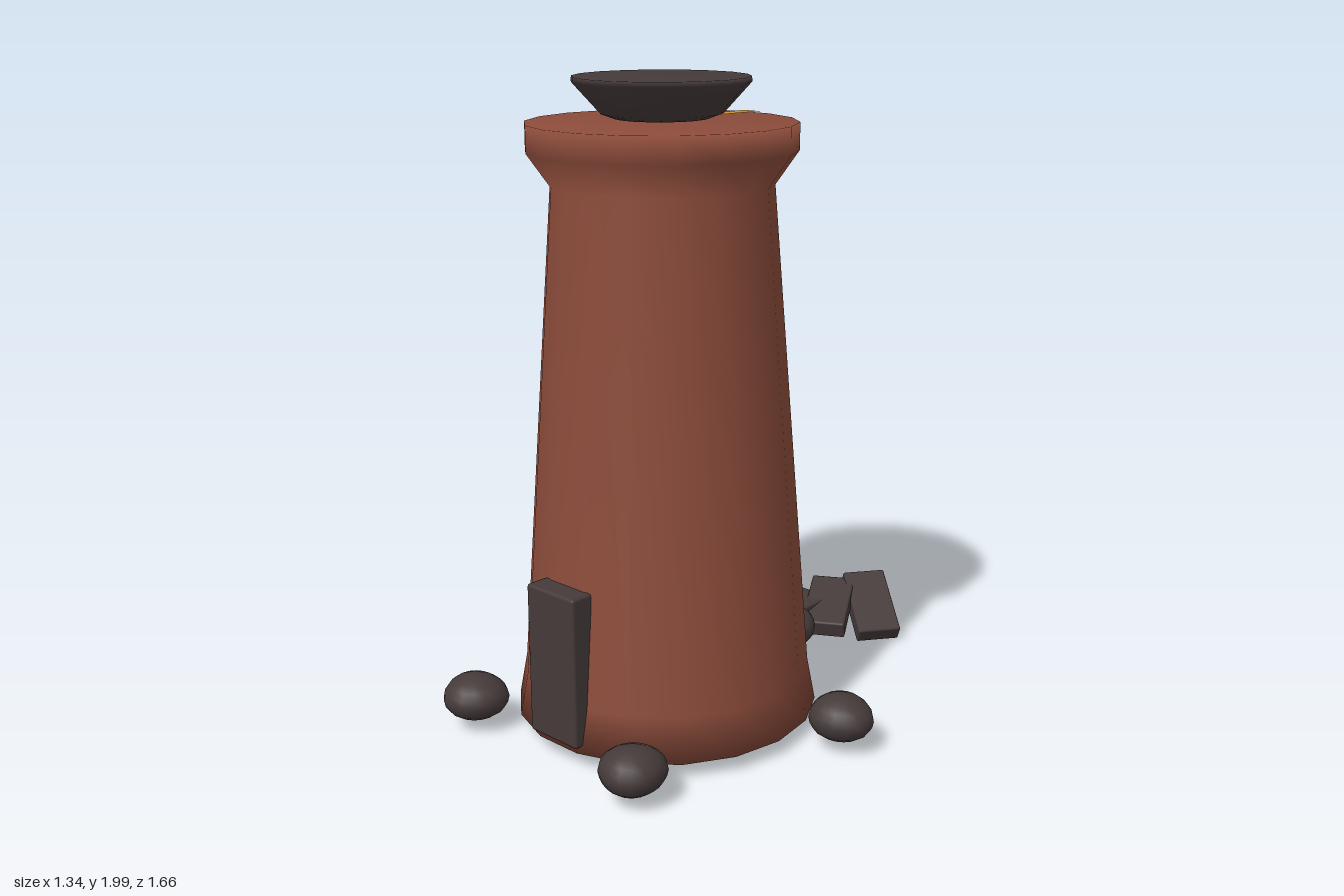
import * as THREE from 'three';
import { RoundedBoxGeometry } from 'three/addons/geometries/RoundedBoxGeometry.js';

const brick = new THREE.MeshStandardMaterial({ name: 'brick', color: 0x8c4c3b });
const darkStone = new THREE.MeshStandardMaterial({ name: 'darkStone', color: 0x453a3a });
const ochre = new THREE.MeshStandardMaterial({ name: 'ochre', color: 0xd2973a });

const SIDES = 18;
const CX = -0.005, CZ = 0.24; // tower axis

// Radius, height
const TOWER = [[0, 0.065], [0.468, 0.065], [0.443, 0.2], [0.33, 1.69], [0.4, 1.79], [0.4, 1.87], [0, 1.872]];
const CAP = [[0, 1.876], [0.14, 1.88], [0.18, 1.895], [0.262, 1.985], [0.26, 2.0], [0, 2.0]];

function add(parent, name, geometry, material, x = 0, y = 0, z = 0) {
  const mesh = new THREE.Mesh(geometry, material);
  mesh.name = name;
  mesh.position.set(x, y, z);
  parent.add(mesh);
  return mesh;
}

function turned(profile) {
  return new THREE.LatheGeometry(profile.map(p => new THREE.Vector2(...p)), SIDES, Math.PI / 2);
}

// Slightly lumpy, flattened boulder
function boulder(rx, ry, rz, seed) {
  const g = new THREE.SphereGeometry(1, 16, 10);
  const p = g.attributes.position;
  const v = new THREE.Vector3();
  for (let i = 0; i < p.count; i++) {
    v.fromBufferAttribute(p, i);
    const a = Math.atan2(v.z, v.x);
    const flat = Math.hypot(v.x, v.z);
    const k = 1 + 0.035 * flat * Math.sin(3 * a + seed) + 0.02 * flat * Math.cos(2 * a - seed);
    p.setXYZ(i, v.x * k * rx, v.y * ry, v.z * k * rz);
  }
  g.computeVertexNormals();
  // Match the normals along the seam
  const n = g.attributes.normal;
  for (let row = 0; row <= 10; row++) {
    const a = row * 17, b = a + 16;
    const s = new THREE.Vector3().fromBufferAttribute(n, a).add(v.fromBufferAttribute(n, b)).normalize();
    n.setXYZ(a, s.x, s.y, s.z);
    n.setXYZ(b, s.x, s.y, s.z);
  }
  return g;
}

// Thin ribbon hugging the flat rear facet: rows of [half width, y, z]
function ribbon(rows) {
  const pos = [], index = [];
  rows.forEach(([w, y, z], i) => {
    pos.push(w, y, z, -w, y, z);
    if (i) {
      const a = 2 * i - 2;
      index.push(a, a + 1, a + 2, a + 1, a + 3, a + 2);
    }
  });
  const g = new THREE.BufferGeometry();
  g.setAttribute('position', new THREE.Float32BufferAttribute(pos, 3));
  g.setIndex(index);
  g.computeVertexNormals();
  return g;
}

export function createModel() {
  const model = new THREE.Group();
  model.name = 'chimneyTower';

  // Tower body and lid
  add(model, 'towerBody', turned(TOWER), brick, CX, 0, CZ);
  add(model, 'lid', turned(CAP), darkStone, CX, 0, CZ);

  // Painted stripe up the back and over the rim
  const facet = r => -(r * Math.cos(Math.PI / SIDES) + 0.004);
  const stripe = ribbon([
    [0.034, 0.42, facet(0.426)],
    [0.034, 1.688, facet(0.33)],
    [0.034, 1.788, facet(0.4)],
    [0.034, 1.874, facet(0.4)],
    [0.022, 1.8755, -0.2],
  ]);
  add(model, 'stripe', stripe, ochre, CX - 0.003, 0, CZ);

  // Door slab
  add(model, 'door', new RoundedBoxGeometry(0.2, 0.47, 0.08, 1, 0.01), darkStone, -0.01, 0.32, 0.677);

  // Boulders around the foot
  [
    [-0.57, 0.05, 0.098, 0.1],
    [0.56, 0.065, 0.103, 0.096],
    [-0.365, 0.72, 0.105, 0.097],
    [0.335, 0.725, 0.098, 0.1],
    [-0.003, -0.35, 0.095, 0.1],
  ].forEach(([x, z, rx, rz], i) => {
    add(model, 'boulder' + (i + 1), boulder(rx, 0.07, rz, i * 1.7), darkStone, x, 0.115, z);
  });

  // Fanned slabs behind the tower
  [
    [-0.095, 0.11, -0.47, 0, 2],
    [-0.01, 0.115, -0.58, 30, 17],
    [0.08, 0.105, -0.705, 54, 32],
  ].forEach(([x, y, z, yaw, pitch], i) => {
    const slab = add(model, 'slab' + (i + 1), new RoundedBoxGeometry(0.15, 0.06, 0.26, 1, 0.007), darkStone, x, y, z);
    slab.rotation.set(THREE.MathUtils.degToRad(pitch), THREE.MathUtils.degToRad(yaw), 0, 'YXZ');
  });

  return model;
}
